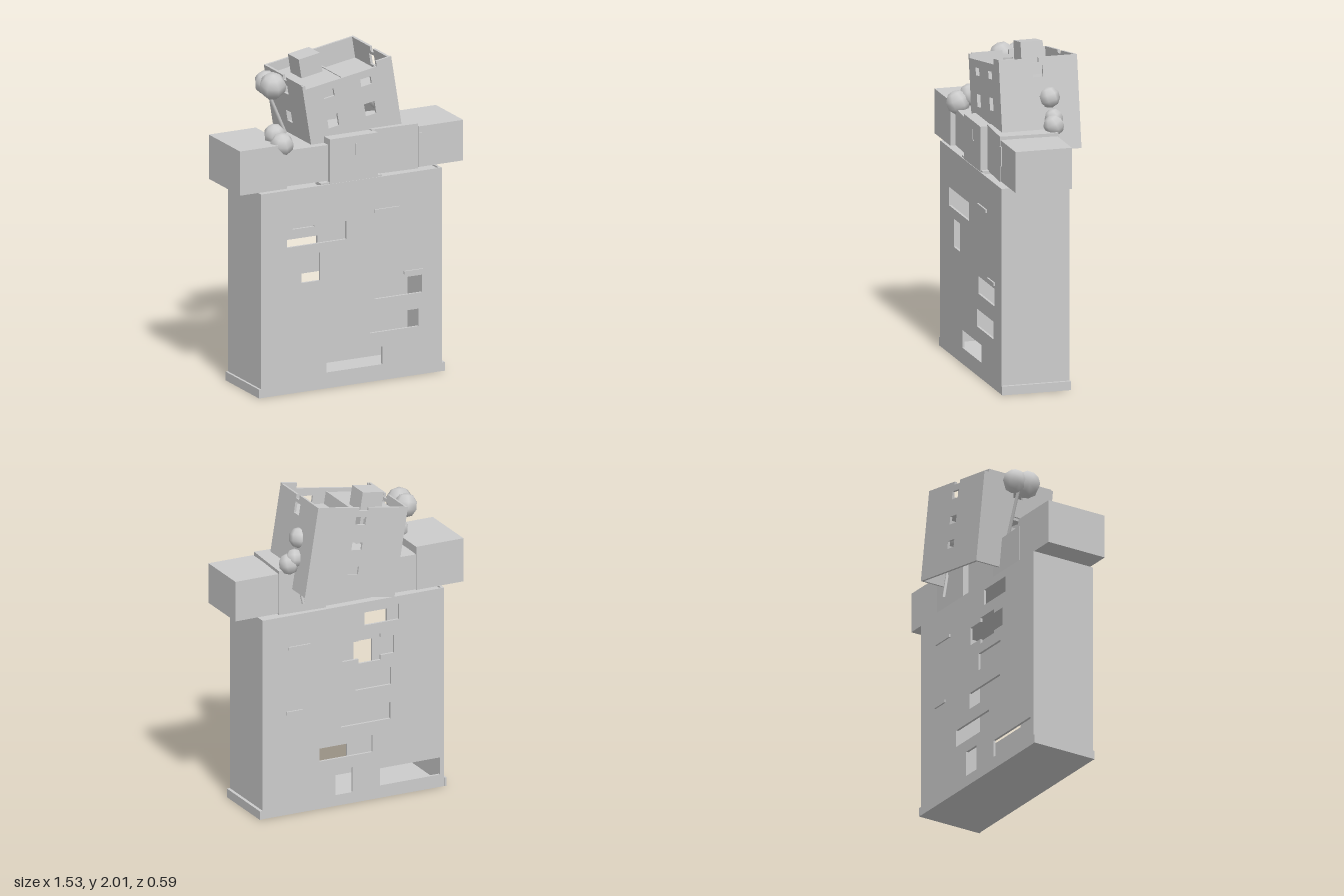
import * as THREE from 'three';

const grey = new THREE.MeshStandardMaterial({ color: 0xcccccc, side: THREE.DoubleSide });
grey.name = 'plain grey';

function add(parent, name, geometry) {
  const mesh = new THREE.Mesh(geometry, grey);
  mesh.name = name;
  parent.add(mesh);
  return mesh;
}

// Box given by its limits on each axis
function box(parent, name, x0, x1, y0, y1, z0, z1) {
  const mesh = add(parent, name, new THREE.BoxGeometry(x1 - x0, y1 - y0, z1 - z0));
  mesh.position.set((x0 + x1) / 2, (y0 + y1) / 2, (z0 + z1) / 2);
  return mesh;
}

const points = list => list.map(([x, y]) => new THREE.Vector2(x, y));
const rect = (x0, x1, y0, y1) => [[x0, y0], [x1, y0], [x1, y1], [x0, y1]];

// Wall slab with openings, each opening a list of corners
function wall(outline, openings, depth) {
  const shape = new THREE.Shape(points(outline));
  openings.forEach(o => shape.holes.push(new THREE.Path(points(o))));
  return new THREE.ExtrudeGeometry(shape, { depth, bevelEnabled: false });
}

// Straight trunk between two points
function trunk(parent, a, b) {
  const path = new THREE.LineCurve3(new THREE.Vector3(...a), new THREE.Vector3(...b));
  add(parent, 'treeTrunk', new THREE.TubeGeometry(path, 1, 0.011, 6));
}

function foliage(parent, balls) {
  balls.forEach(([x, y, z, r], i) => {
    const ball = add(parent, 'foliage', new THREE.SphereGeometry(r, 7, 5));
    ball.position.set(x, y, z);
    ball.rotation.set(0.25, i * 0.7, 0.2);
  });
}

function createTower() {
  const tower = new THREE.Group();
  tower.name = 'tower';
  const outline = rect(-0.63, 0.60, 0, 1.28);

  const front = add(tower, 'frontWall', wall(outline, [
    rect(-0.455, -0.05, 0.92, 1.035),
    rect(-0.355, -0.23, 0.685, 0.86),
    rect(0.14, 0.465, 0.515, 0.625),
    rect(0.11, 0.44, 0.305, 0.415),
    rect(-0.185, 0.195, 0.10, 0.21),
  ], 0.015));
  front.position.z = 0.263;

  const back = add(tower, 'backWall', wall(outline, [
    rect(-0.325, -0.09, 1.13, 1.23),
    [[-0.29, 0.92], [-0.2, 0.92], [-0.2, 0.89], [-0.05, 0.89], [-0.05, 0.92], [0.06, 0.92],
      [0.06, 1.035], [-0.05, 1.035], [-0.05, 1.06], [-0.2, 1.06], [-0.2, 1.035], [-0.29, 1.035]],
    rect(-0.27, -0.03, 0.72, 0.83),
    rect(-0.265, 0.07, 0.5, 0.605),
    rect(-0.145, 0.215, 0.305, 0.415),
    rect(-0.01, 0.105, 0.07, 0.23),
    rect(-0.6, -0.195, 0.08, 0.19),
  ], 0.015));
  back.position.z = -0.153;

  box(tower, 'rightWall', -0.63, -0.615, 0, 1.28, -0.138, 0.263);
  box(tower, 'leftWall', 0.585, 0.60, 0, 1.28, -0.138, 0.263);
  box(tower, 'topSlab', -0.615, 0.585, 1.255, 1.27, -0.138, 0.263);
  box(tower, 'floorSlab', -0.63, 0.60, 0, 0.02, -0.153, 0.278);

  // Base ends and horizontal ledges
  box(tower, 'baseEnd', -0.645, -0.63, 0, 0.055, -0.155, 0.28);
  box(tower, 'baseEnd', 0.60, 0.62, 0, 0.055, -0.155, 0.28);
  for (const [x0, x1, y] of [[0.14, 0.31, 1.06], [0.34, 0.47, 0.645]]) {
    box(tower, 'frontLedge', x0, x1, y, y + 0.02, 0.275, 0.288);
  }
  for (const [x0, x1, y] of [[0.28, 0.43, 1.06], [0.33, 0.44, 0.645]]) {
    box(tower, 'backLedge', x0, x1, y, y + 0.02, -0.163, -0.15);
  }
  box(tower, 'frontFascia', -0.22, 0.195, 1.27, 1.29, 0.2, 0.27);
  return tower;
}

function createUpperBlocks() {
  const blocks = new THREE.Group();
  blocks.name = 'upperBlocks';
  box(blocks, 'rightOverhang', -0.77, -0.45, 1.29, 1.568, -0.135, 0.27);
  box(blocks, 'leftOverhang', 0.462, 0.765, 1.292, 1.547, -0.115, 0.24);
  box(blocks, 'rightMiddle', -0.455, -0.15, 1.295, 1.52, -0.13, 0.245).rotation.y = -0.04;
  box(blocks, 'leftMiddle', 0.155, 0.465, 1.285, 1.567, -0.13, 0.235).rotation.y = -0.05;
  box(blocks, 'centreBlock', -0.16, 0.165, 1.28, 1.56, -0.1, 0.275);
  // Narrow slits on the front
  box(blocks, 'slit', 0.457, 0.49, 1.39, 1.51, 0.24, 0.247);
  box(blocks, 'slit', 0.015, 0.022, 1.44, 1.51, 0.275, 0.28);
  box(blocks, 'slit', 0.022, 0.035, 1.44, 1.447, 0.275, 0.28);
  return blocks;
}

function createHouse() {
  // Tilted house, origin at its lower right corner
  const house = new THREE.Group();
  house.name = 'tiltedHouse';
  house.position.set(-0.22, 1.34, 0);
  house.rotation.z = 0.161;
  const W = 0.615, H = 0.57, Z0 = -0.295, Z1 = 0.2, T = 0.015;

  const front = add(house, 'houseFront', wall(
    [[0, 0], [W, 0], [W, H], [0.51, H], [0.51, 0.535], [0.02, 0.535], [0.02, H - 0.01], [0, H - 0.01]],
    [rect(0.132, 0.204, 0.44, 0.487), rect(0.388, 0.46, 0.44, 0.487),
      rect(0.132, 0.204, 0.248, 0.326), rect(0.388, 0.46, 0.248, 0.326)], T));
  front.position.z = Z1 - T;

  const back = add(house, 'houseBack', wall(
    [[0, 0], [W, 0], [W, H], [0.33, H], [0.33, H - 0.02], [0.27, H - 0.02], [0.27, H], [0, H]],
    [0.17, 0.325, 0.485].map(y => rect(0.275, 0.345, y - 0.025, y + 0.025)), T));
  back.position.z = Z0;

  // Side walls drawn in z and y, then turned
  for (const [name, x] of [['houseRight', T], ['houseLeft', W]]) {
    const side = add(house, name, wall(
      [[Z0 + T, 0], [Z1 - T, 0], [Z1 - T, H - 0.005], [-0.01, H - 0.005], [-0.01, H - 0.03],
        [-0.05, H - 0.03], [-0.05, H], [Z0 + T, H]],
      [rect(-0.075, -0.01, 0.45, 0.52), rect(-0.08, -0.015, 0.265, 0.335)], T));
    side.rotation.y = -Math.PI / 2;
    side.position.x = x;
  }

  // Two-level roof and chimney
  box(house, 'highRoof', T, 0.3, 0.495, 0.51, Z0 + T, Z1 - T);
  box(house, 'lowRoof', 0.3, W - T, 0.42, 0.435, Z0 + T, Z1 - T);
  box(house, 'roofStep', 0.295, 0.305, 0.42, 0.515, Z0 + T, Z1 - T);
  box(house, 'chimney', 0.12, 0.265, 0.5, 0.632, -0.19, -0.05);
  return house;
}

function createTrees() {
  const trees = new THREE.Group();
  trees.name = 'trees';
  trunk(trees, [-0.39, 1.8, -0.1], [-0.26, 1.5, -0.1]);
  foliage(trees, [[-0.385, 1.845, -0.125, 0.075], [-0.385, 1.845, -0.04, 0.085]]);
  foliage(trees, [[-0.465, 1.595, 0.14, 0.07], [-0.46, 1.555, 0.22, 0.075]]);
  trunk(trees, [0.36, 1.58, -0.11], [0.33, 1.35, -0.165]);
  foliage(trees, [[0.33, 1.755, -0.11, 0.065], [0.37, 1.635, -0.125, 0.058], [0.405, 1.6, -0.115, 0.065]]);
  return trees;
}

export function createModel() {
  const model = new THREE.Group();
  model.name = 'towerWithTiltedHouse';
  model.add(createTower(), createUpperBlocks(), createHouse(), createTrees());
  return model;
}
